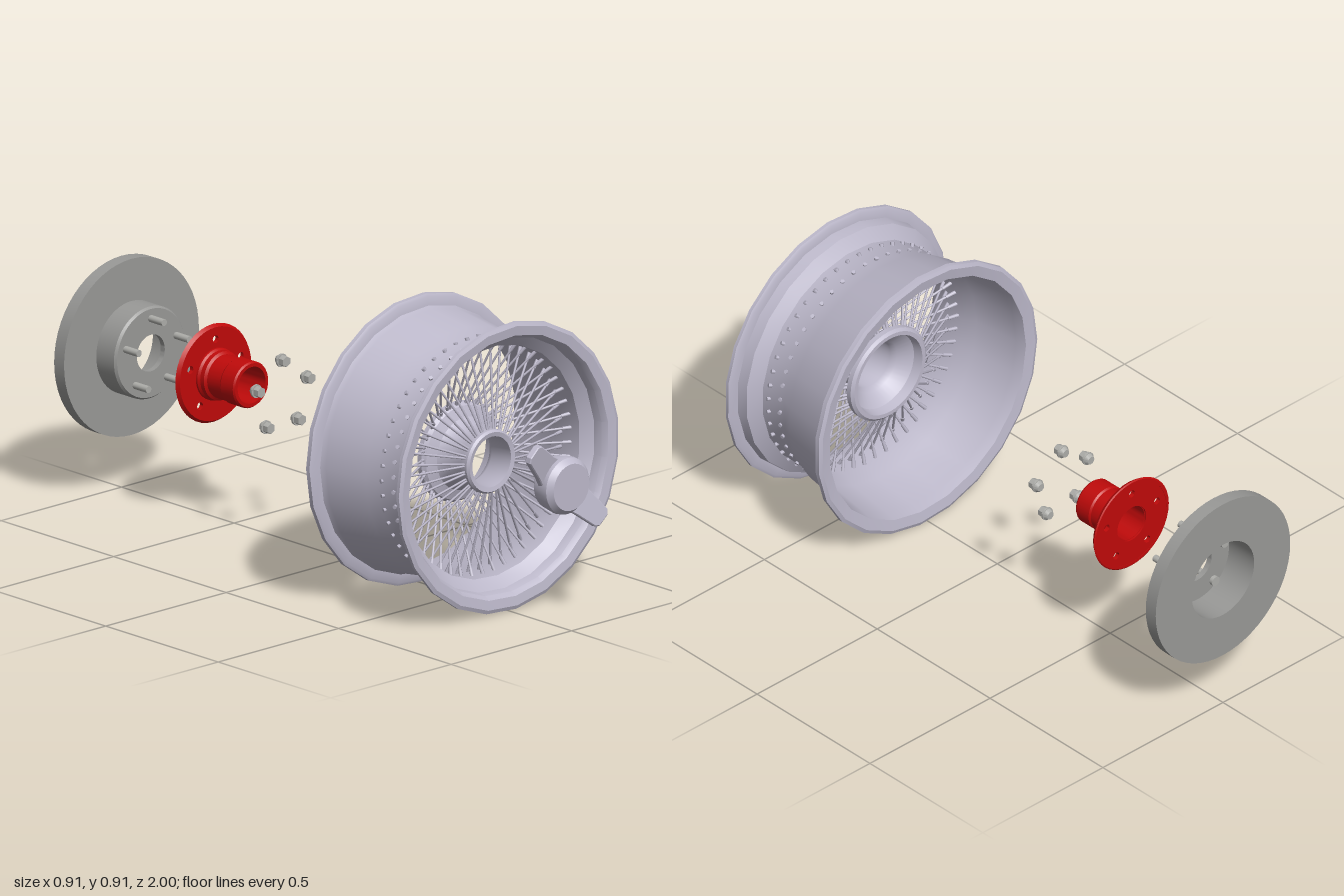
import * as THREE from 'three';
import { mergeGeometries, toCreasedNormals } from 'three/addons/utils/BufferGeometryUtils.js';

const material = (name, color) => {
  const m = new THREE.MeshStandardMaterial({ color });
  m.name = name;
  return m;
};

// Closed ring turned about the z axis; points are [radius, z], outer side first going forward
function turned(points, sides, start = 0) {
  const profile = [...points, points[0]].map(([r, z]) => new THREE.Vector2(r, z));
  const g = new THREE.LatheGeometry(profile, sides, start);
  g.rotateX(Math.PI / 2);
  return toCreasedNormals(g, 0.5);
}

// Straight round bar between two points
function rod(a, b, ra, rb = ra, sides = 6) {
  const d = b.clone().sub(a);
  const g = new THREE.CylinderGeometry(rb, ra, d.length(), sides);
  g.applyQuaternion(new THREE.Quaternion().setFromUnitVectors(
    new THREE.Vector3(0, 1, 0), d.clone().normalize()));
  const c = a.clone().lerp(b, 0.5);
  return g.translate(c.x, c.y, c.z);
}

const polar = (r, angle, z) => new THREE.Vector3(r * Math.cos(angle), r * Math.sin(angle), z);

// Five evenly spaced bolt positions
const boltAngles = [0, 1, 2, 3, 4].map(i => Math.PI / 2 + i * Math.PI * 0.4);
const BOLT_R = 0.11;

// Flat plate with a centre hole and five bolt holes
function drilledPlate(radius, hole, boltHole, depth, z) {
  const s = new THREE.Shape().absarc(0, 0, radius, 0, Math.PI * 2);
  s.holes.push(new THREE.Path().absarc(0, 0, hole, 0, Math.PI * 2, true));
  for (const a of boltAngles) {
    const p = polar(BOLT_R, a, 0);
    s.holes.push(new THREE.Path().absarc(p.x, p.y, boltHole, 0, Math.PI * 2, true));
  }
  const g = new THREE.ExtrudeGeometry(s, { depth, bevelEnabled: false, curveSegments: 20 });
  g.translate(0, 0, z);
  return toCreasedNormals(g, 0.5);
}

export function createModel() {
  const model = new THREE.Group();
  const chrome = material('wheel metal', 0xbdb9cb);
  const steel = material('rotor steel', 0x999997);
  const red = material('red adapter paint', 0xc00a0a);
  const bright = material('nut steel', 0xaeaeaa);

  const assembly = new THREE.Group();
  assembly.name = 'wheelAssembly';
  assembly.position.y = 0.457;
  model.add(assembly);
  const add = (name, geometry, mat, parent = assembly) => {
    const mesh = new THREE.Mesh(geometry, mat);
    mesh.name = name;
    parent.add(mesh);
    return mesh;
  };

  // Rim barrel with two flanges and a stepped channel
  const wheel = new THREE.Group();
  wheel.name = 'wireWheel';
  assembly.add(wheel);
  add('rim', turned([
    [0.445, 0.304], [0.457, 0.309], [0.457, 0.324], [0.448, 0.329], [0.42, 0.332],
    [0.413, 0.35], [0.393, 0.505], [0.377, 0.545], [0.377, 0.64], [0.418, 0.668],
    [0.422, 0.703], [0.448, 0.705], [0.457, 0.71], [0.457, 0.721], [0.445, 0.726],
    [0.415, 0.722], [0.404, 0.705], [0.4, 0.675], [0.366, 0.645], [0.366, 0.54],
    [0.383, 0.5], [0.402, 0.345], [0.41, 0.309],
  ], 23, 0.07), chrome, wheel);

  // Hollow hub with a flared rear flange
  add('wheelHub', turned([
    [0.148, 0.475], [0.157, 0.483], [0.157, 0.5], [0.148, 0.512], [0.115, 0.525],
    [0.1, 0.55], [0.096, 0.6], [0.1, 0.615], [0.1, 0.64], [0.094, 0.648],
    [0.08, 0.645], [0.08, 0.56], [0.09, 0.54], [0.128, 0.505], [0.135, 0.475],
  ], 40), chrome, wheel);

  // Spokes: alternate between the front hub edge and the rear flange
  const spokes = [], nipples = [];
  const count = 100;
  for (let i = 0; i < count; i++) {
    const a = i * Math.PI * 2 / count;
    const front = i % 2 === 0;
    const lean = (i % 4 < 2 ? 1 : -1) * 0.03;
    const inner = front ? polar(0.095, a + lean, 0.63) : polar(0.147, a + lean, 0.5);
    const outer = polar(0.382, a, front ? 0.56 : 0.615);
    const at = t => inner.clone().lerp(outer, t);
    spokes.push(rod(inner, at(0.95), 0.0038));
    if (!front) spokes.push(rod(inner, at(0.09), 0.0055));
    nipples.push(rod(at(0.83), outer, 0.0055, 0.0068));
  }
  add('spokes', mergeGeometries(spokes), chrome, wheel);
  add('spokeNipples', mergeGeometries(nipples), chrome, wheel);

  // Two-winged locking cap
  const cap = new THREE.Group();
  cap.name = 'lockingCap';
  assembly.add(cap);
  add('capBody', turned([
    [0.078, 0.916], [0.083, 0.922], [0.091, 0.968], [0.089, 0.982], [0.074, 1.0],
    [0, 1.0], [0, 0.975], [0.066, 0.975], [0.066, 0.916],
  ], 32), chrome, cap);
  const outline = [[0.065, -0.048], [0.1, -0.04], [0.18, -0.032], [0.191, -0.022],
    [0.195, 0.018], [0.186, 0.03], [0.1, 0.04], [0.065, 0.048]];
  const blade = new THREE.ExtrudeGeometry(
    new THREE.Shape(outline.map(p => new THREE.Vector2(...p))),
    { depth: 0.016, bevelSize: 0.003, bevelThickness: 0.003, bevelSegments: 1 });
  blade.rotateY(-0.2).translate(0.01, 0, 0.934);
  for (const angle of [-0.75, Math.PI - 0.75]) {
    add('capWing', blade, chrome, cap).rotation.z = angle;
  }

  // Lug nuts: hexagon body, collar and tapered seat
  const nut = mergeGeometries([
    rod(polar(0, 0, -0.288), polar(0, 0, -0.266), 0.018, 0.017, 6).toNonIndexed(),
    rod(polar(0, 0, -0.293), polar(0, 0, -0.286), 0.021, 0.021, 16).toNonIndexed(),
    rod(polar(0, 0, -0.305), polar(0, 0, -0.293), 0.013, 0.019, 16).toNonIndexed(),
  ]);
  const nutGeometry = toCreasedNormals(nut, 0.5);
  for (const a of boltAngles) {
    const p = polar(BOLT_R, a, 0);
    add('lugNut', nutGeometry, bright).position.copy(p);
  }

  // Red splined adapter: hollow spigot on a drilled flange
  const adapter = new THREE.Group();
  adapter.name = 'hubAdapter';
  assembly.add(adapter);
  add('adapterSpigot', turned([
    [0.082, -0.59], [0.082, -0.575], [0.077, -0.568], [0.077, -0.552], [0.069, -0.546],
    [0.069, -0.488], [0.073, -0.482], [0.073, -0.428], [0.069, -0.422],
    [0.058, -0.422], [0.058, -0.59],
  ], 36), red, adapter);
  add('adapterFlange', drilledPlate(0.148, 0.06, 0.012, 0.014, -0.596), red, adapter);
  add('adapterFlangeEdge', turned([
    [0.152, -0.597], [0.156, -0.594], [0.148, -0.582], [0.143, -0.582], [0.143, -0.597],
  ], 40), red, adapter);

  // Brake rotor: friction ring, hollow hat and studs
  const rotor = new THREE.Group();
  rotor.name = 'brakeRotor';
  assembly.add(rotor);
  add('rotorDisc', turned([
    [0.28, -1], [0.28, -0.956], [0.146, -0.956], [0.146, -0.878], [0.14, -0.87],
    [0.058, -0.87], [0.058, -0.888], [0.13, -0.888], [0.13, -1],
  ], 56), steel, rotor);
  for (const a of boltAngles) {
    add('wheelStud', rod(polar(BOLT_R, a, -0.89), polar(BOLT_R, a, -0.81), 0.011, 0.011, 14), bright, rotor);
    add('studHead', rod(polar(BOLT_R, a, -0.9), polar(BOLT_R, a, -0.885), 0.016, 0.016, 14), bright, rotor);
  }
  return model;
}
